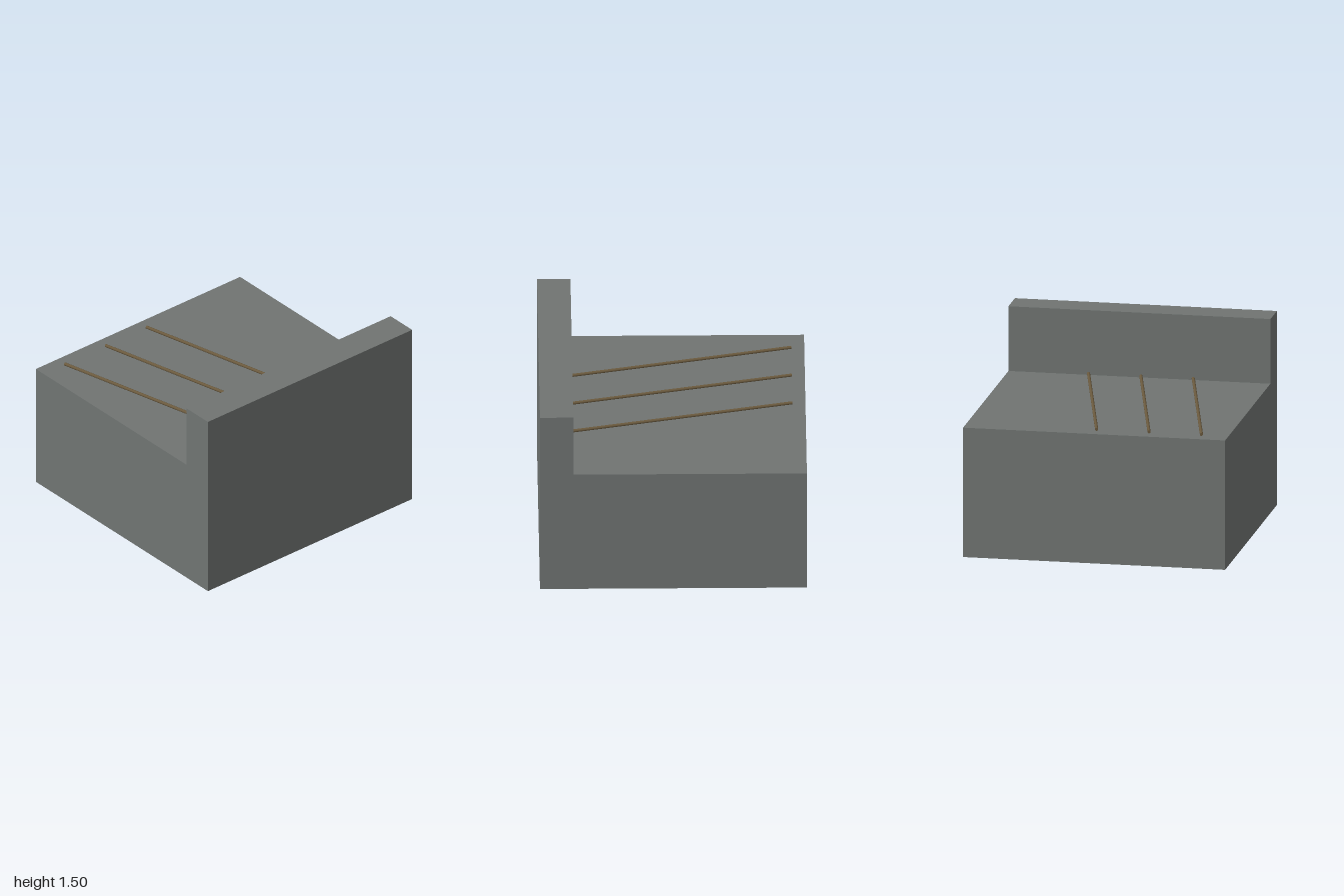
import * as THREE from 'three';

export function createModel() {
  const model = new THREE.Group();
  const stone = new THREE.MeshStandardMaterial({ color: 0x707472 });
  stone.name = 'grey stone';
  const brown = new THREE.MeshStandardMaterial({ color: 0x6b5a3e });
  brown.name = 'brown rod';

  // Block with a raised front wall: L-shaped side profile (z, y) swept across x
  const profile = new THREE.Shape(
    [[-1, 0], [1, 0], [1, 1.5], [0.75, 1.5], [0.75, 1], [-1, 1]].map(([z, y]) => new THREE.Vector2(-z, y))
  );
  const blockGeometry = new THREE.ExtrudeGeometry(profile, { depth: 2, bevelEnabled: false });
  blockGeometry.translate(0, 0, -1).rotateY(Math.PI / 2);
  const block = new THREE.Mesh(blockGeometry, stone);
  block.name = 'steppedBlock';
  model.add(block);

  // Three parallel slanted rods lying on the deck, running up to the wall
  const radius = 0.012;
  for (const [i, x] of [-0.8, -0.4, 0].entries()) {
    const start = new THREE.Vector3(x, 1 + radius, -0.9);
    const end = new THREE.Vector3(x + 0.39, 1 + radius, 0.755);
    const direction = end.clone().sub(start);
    const rod = new THREE.Mesh(new THREE.CylinderGeometry(radius, radius, direction.length(), 12), brown);
    rod.position.copy(start).add(end).multiplyScalar(0.5);
    rod.quaternion.setFromUnitVectors(new THREE.Vector3(0, 1, 0), direction.normalize());
    rod.name = `deckRod${i + 1}`;
    model.add(rod);
  }
  return model;
}
